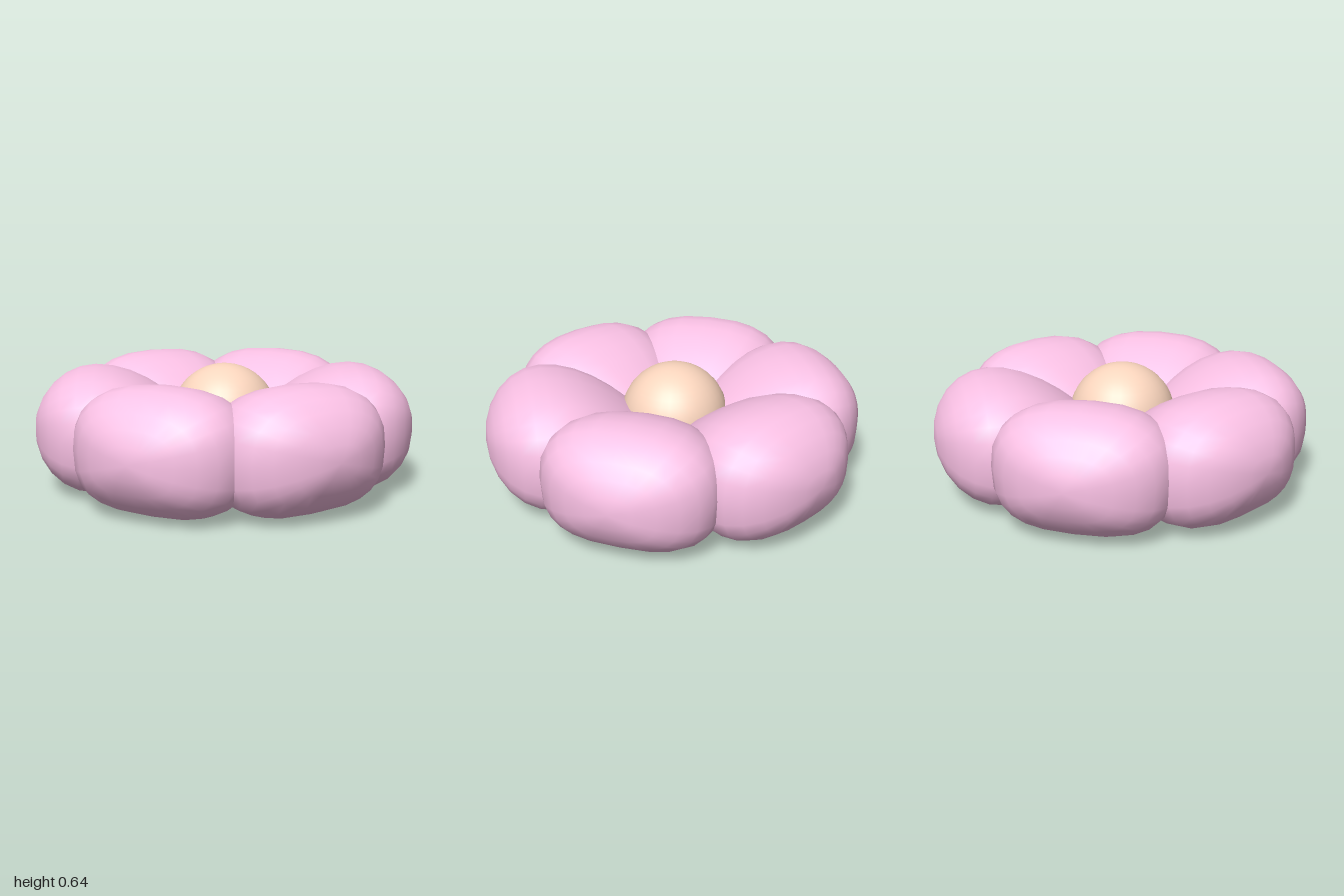
import * as THREE from 'three';

const WIDEST = 0.68, REACH = 0.315, HALF_WIDTH = 0.455, HEIGHT = 0.63, TIP_Y = 0.14, TIP_X = -0.05;

// Rounded curve: power 2 is an ellipse, higher is boxier
const bulge = (v, power) => Math.sign(v) * Math.pow(Math.abs(v), 2 / power);

// Cross-sections of one petal, from the pinched inner tip to the rounded outer end
function petalSections() {
  const sections = [];
  for (let i = 0; i <= 8; i++) {
    const t = i / 8;
    const k = Math.sin(t * Math.PI / 2);
    sections.push({
      x: TIP_X + (WIDEST - TIP_X) * t,
      width: HALF_WIDTH * k,
      top: TIP_Y + (HEIGHT - TIP_Y) * Math.pow(k, 0.9),
      bottom: TIP_Y * Math.pow(1 - k, 1.2),
    });
  }
  for (let i = 1; i <= 6; i++) {
    const a = (i / 6) * Math.PI / 2;
    const k = i === 6 ? 0 : Math.cos(a);
    sections.push({
      x: WIDEST + REACH * Math.sin(a),
      width: HALF_WIDTH * k,
      top: HEIGHT / 2 * (1 + k),
      bottom: HEIGHT / 2 * (1 - k),
    });
  }
  return sections;
}

// Closed skin over the sections, flatter below than above, with a single vertex at each end
function petalGeometry() {
  const sides = 24, sections = petalSections(), last = sections.length - 1;
  const positions = [], indices = [], rings = [];
  sections.forEach((s, i) => {
    const ring = [], pole = i === 0 || i === last;
    const mid = (s.top + s.bottom) / 2, half = (s.top - s.bottom) / 2;
    for (let j = 0; j < sides; j++) {
      if (!pole || j === 0) {
        const a = (j / sides) * Math.PI * 2;
        const power = Math.sin(a) < 0 ? 2.9 : 2.5;
        positions.push(s.x, mid + half * bulge(Math.sin(a), power), s.width * bulge(Math.cos(a), power));
      }
      ring.push(positions.length / 3 - 1);
    }
    rings.push(ring);
  });
  for (let i = 0; i < last; i++) {
    for (let j = 0; j < sides; j++) {
      const n = (j + 1) % sides;
      const a = rings[i][j], b = rings[i + 1][j], c = rings[i + 1][n], d = rings[i][n];
      if (b !== c) indices.push(a, b, c);
      if (a !== d) indices.push(a, c, d);
    }
  }
  const geometry = new THREE.BufferGeometry();
  geometry.setAttribute('position', new THREE.Float32BufferAttribute(positions, 3));
  geometry.setIndex(indices);
  geometry.computeVertexNormals();
  return geometry;
}

export function createModel() {
  const flower = new THREE.Group();
  flower.name = 'flower';

  // Six puffy petals, slightly unevenly spaced
  const pink = new THREE.MeshStandardMaterial({ color: 0xfbc2e6 });
  const geometry = petalGeometry();
  [4.5, 64, 123, 182.5, 242, 305].forEach((degrees, i) => {
    const petal = new THREE.Mesh(geometry, pink);
    petal.name = `petal${i + 1}`;
    petal.rotation.y = -THREE.MathUtils.degToRad(degrees);
    flower.add(petal);
  });

  // Domed heart, its underside buried in the petals
  const heart = new THREE.Mesh(
    new THREE.SphereGeometry(0.28, 32, 16, 0, Math.PI * 2, 0, Math.PI * 0.65),
    new THREE.MeshStandardMaterial({ color: 0xfbd6be }),
  );
  heart.name = 'flowerHeart';
  heart.position.y = 0.36;
  flower.add(heart);

  return flower;
}
